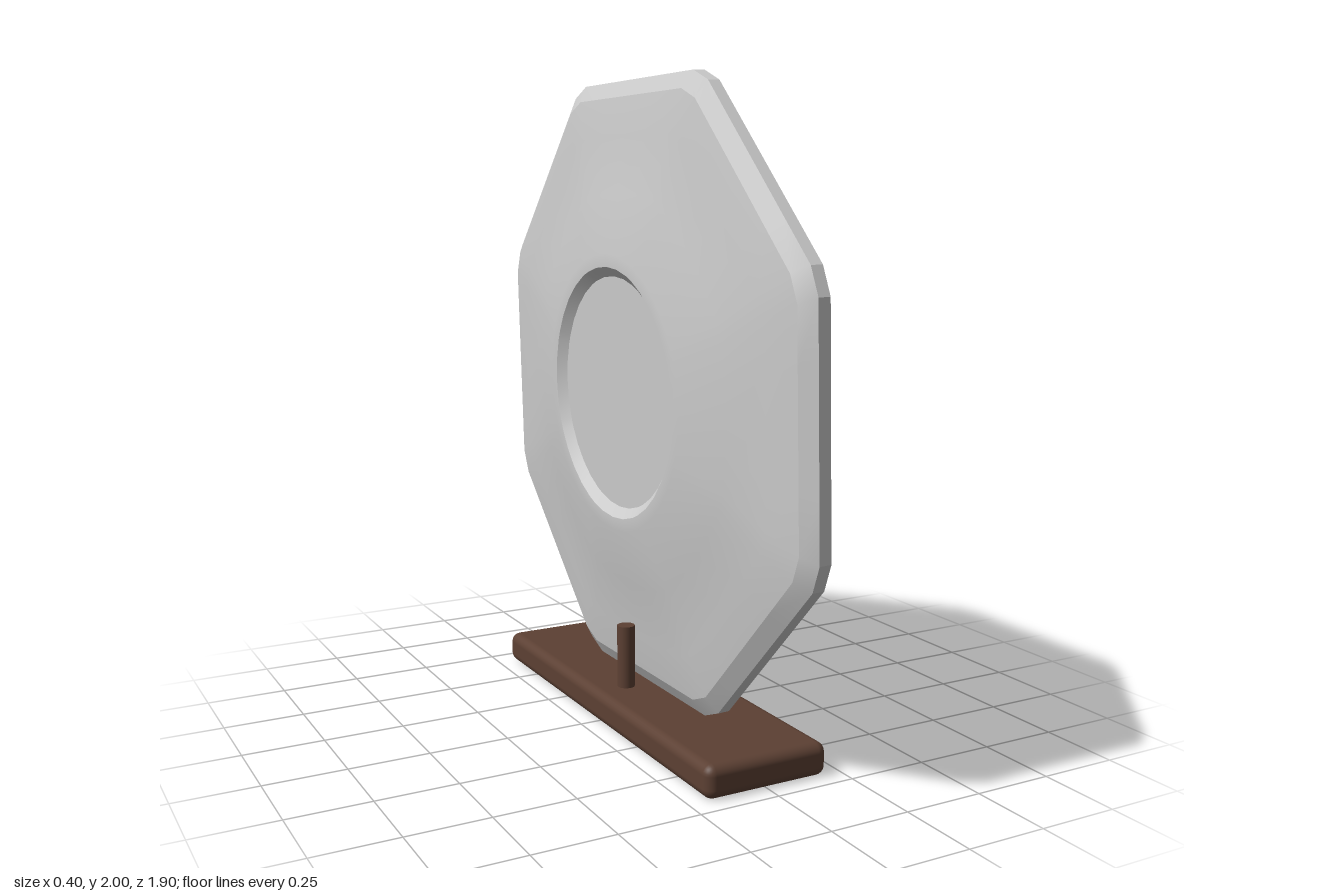
import * as THREE from 'three';
import { toCreasedNormals } from 'three/addons/utils/BufferGeometryUtils.js';
import { RoundedBoxGeometry } from 'three/addons/geometries/RoundedBoxGeometry.js';

// Octagon outline of apothem 1 with clipped corners, as [y, z] points
function octagonOutline() {
  const points = [];
  for (let k = 0; k < 8; k++) {
    const a = k * Math.PI / 4, c = Math.cos(a), s = Math.sin(a);
    for (let j = 0; j <= 4; j++) {
      const t = 0.365 * (j / 2 - 1);
      points.push([c - t * s, s + t * c]);
    }
  }
  return points;
}

// Skin rings of [size, x, roundness] from the centre of the dish to the centre of its back
function dishGeometry(rings) {
  const outline = octagonOutline(), n = outline.length;
  const positions = [], indices = [];
  for (const [size, x, round] of rings) {
    for (const [y, z] of outline) {
      const k = size * (1 - round + round / Math.hypot(y, z));
      positions.push(x, y * k, z * k);
    }
  }
  for (let i = 0; i < rings.length - 1; i++) {
    for (let j = 0; j < n; j++) {
      const a = i * n + j, d = i * n + (j + 1) % n, b = a + n, c = d + n;
      if (rings[i + 1][0] > 0) indices.push(a, b, c);
      if (rings[i][0] > 0) indices.push(a, c, d);
    }
  }
  const geometry = new THREE.BufferGeometry();
  geometry.setAttribute('position', new THREE.Float32BufferAttribute(positions, 3));
  geometry.setIndex(indices);
  return toCreasedNormals(geometry, 0.35);
}

export function createModel() {
  const model = new THREE.Group();
  model.name = 'plateOnStand';
  const ceramic = new THREE.MeshStandardMaterial({ color: 0xcccccc });
  const wood = new THREE.MeshStandardMaterial({ color: 0x5c4033 });

  const add = (name, geometry, material, x, y, z) => {
    const mesh = new THREE.Mesh(geometry, material);
    mesh.name = name;
    mesh.position.set(x, y, z);
    model.add(mesh);
    return mesh;
  };

  // Plate: dished face, rim, sloping back and round foot ring
  const plate = add('plate', dishGeometry([
    [0, -0.065, 0.6],
    [0.62, -0.063, 0.6],
    [0.69, -0.055, 0.4],
    [0.90, -0.025, 0],
    [0.93, -0.003, 0],
    [0.95, 0, 0],
    [0.95, -0.037, 0],
    [0.90, -0.067, 0],
    [0.78, -0.088, 0.1],
    [0.61, -0.107, 0.6],
    [0.43, -0.155, 1],
    [0.39, -0.155, 1],
    [0.36, -0.13, 1],
    [0, -0.13, 1],
  ]), ceramic, 0.01, 1.05, 0);
  plate.rotation.z = 0.026;

  // Wooden stand
  add('standBase', new RoundedBoxGeometry(0.4, 0.1, 1.4, 3, 0.03), wood, 0, 0.05, 0);

  // Pegs: two in front of the plate, one behind
  const peg = new THREE.CylinderGeometry(0.028, 0.028, 0.22, 24);
  add('frontPegLeft', peg, wood, 0.07, 0.19, 0.29);
  add('frontPegRight', peg, wood, 0.078, 0.19, -0.29);
  add('backPeg', peg, wood, -0.09, 0.19, 0);

  return model;
}
